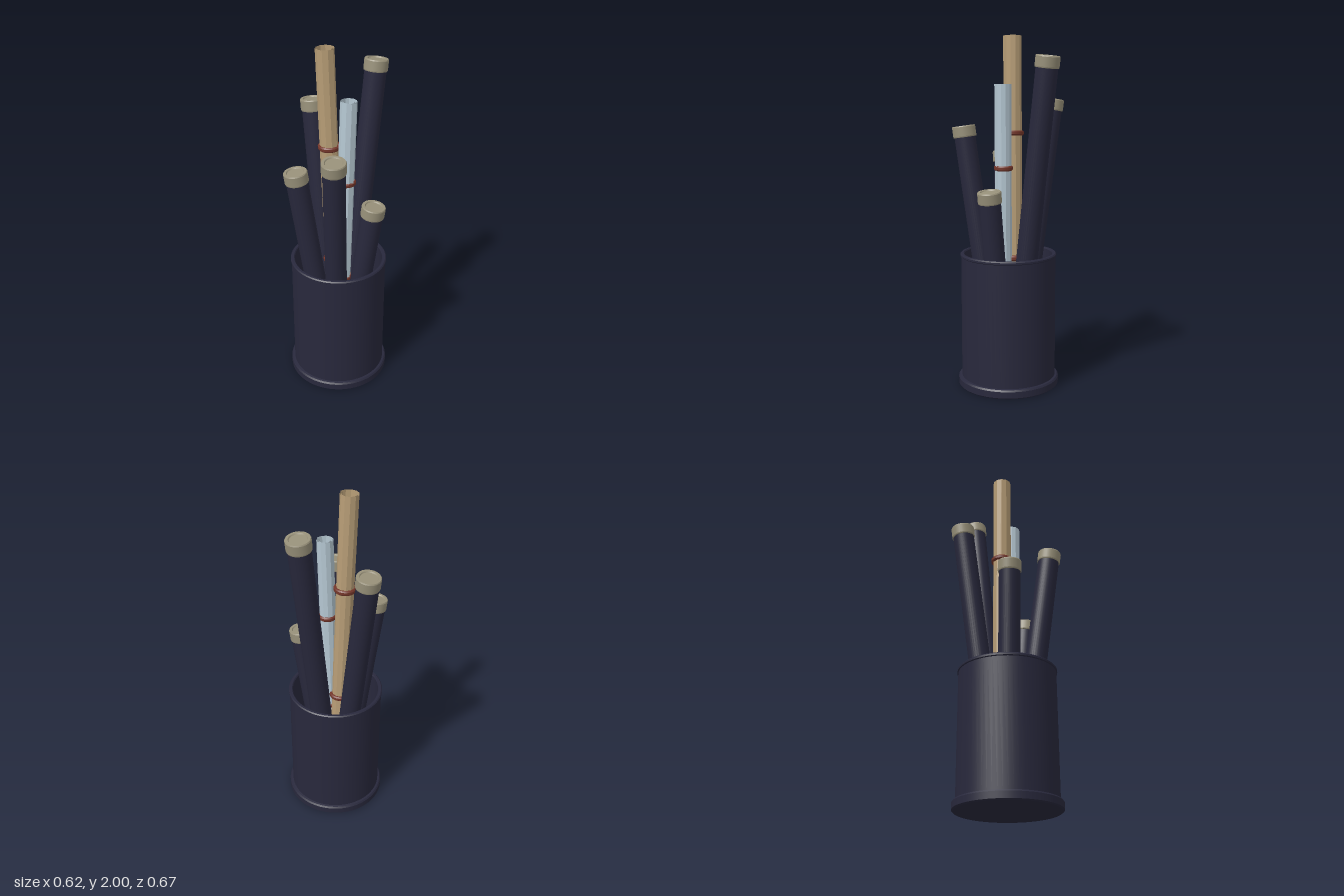
import * as THREE from 'three';

const CX = 0.019, CZ = 0.043; // axis of the container

const material = (name, color, extra = {}) => {
  const m = new THREE.MeshStandardMaterial({ color, ...extra });
  m.name = name;
  return m;
};

// Lathe with sharp corners: every profile segment is its own smooth band
function turned(name, profile, mat, sides = 48) {
  const group = new THREE.Group();
  group.name = name;
  for (let i = 0; i < profile.length - 1; i++) {
    const pts = [profile[i], profile[i + 1]].map(([r, y]) => new THREE.Vector2(r, y));
    const mesh = new THREE.Mesh(new THREE.LatheGeometry(pts, sides), mat);
    mesh.name = name + 'Band';
    group.add(mesh);
  }
  return group;
}

// Stand an object on a base point with its y axis aimed at a tip point
function aim(object, base, tip) {
  object.position.copy(base);
  const dir = tip.clone().sub(base).normalize();
  object.quaternion.setFromUnitVectors(new THREE.Vector3(0, 1, 0), dir);
  return object;
}

// Sheet rolled into a spiral, open at both ends
function rolledSheet(inner, outer, turns, length, sides = 11) {
  const steps = Math.round(turns * sides);
  const geo = new THREE.PlaneGeometry(1, length, steps, 1);
  const pos = geo.attributes.position;
  for (let i = 0; i < pos.count; i++) {
    const t = pos.getX(i) + 0.5;
    const a = (t - 1) * turns * Math.PI * 2;
    const r = inner + (outer - inner) * t;
    pos.setXYZ(i, r * Math.cos(a), pos.getY(i) + length / 2, -r * Math.sin(a));
  }
  geo.computeVertexNormals();
  return geo;
}

export function createModel() {
  const model = new THREE.Group();
  model.name = 'scrollHolder';

  const dark = material('darkLeather', 0x28283c);
  const capMat = material('capGrey', 0x979079);
  const parchment = material('parchment', 0xb79d76, { side: THREE.DoubleSide, flatShading: true });
  const paper = material('bluePaper', 0xb6c8d3, { side: THREE.DoubleSide, flatShading: true });
  const red = material('redBand', 0x74362a);

  // Container: foot ring, wall, rolled lip, hollow inside and floor
  const container = turned('container', [
    [0, 0.003], [0.283, 0.003], [0.291, 0.01], [0.291, 0.046], [0.284, 0.055],
    [0.272, 0.057], [0.271, 0.758], [0.276, 0.762], [0.276, 0.772], [0.27, 0.778],
    [0.257, 0.778], [0.252, 0.772], [0.252, 0.05], [0, 0.05],
  ], dark, 64);
  container.position.set(CX, 0, CZ);
  model.add(container);

  // Five capped tubes fanning out; each number is the height of the cap top
  const tilt = Math.tan(THREE.MathUtils.degToRad(8));
  [1.876, 1.15, 1.5, 1.345, 1.65].forEach((top, i) => {
    const a = -Math.PI / 2 + (i * Math.PI * 2) / 5;
    const at = (y) => {
      const d = 0.049 + tilt * y;
      return new THREE.Vector3(CX + d * Math.cos(a), y, CZ + d * Math.sin(a));
    };
    const base = at(0.065), tip = at(top);
    const len = base.distanceTo(tip);
    const tube = new THREE.Group();
    tube.name = 'cappedTube' + (i + 1);

    const body = new THREE.Mesh(new THREE.CylinderGeometry(0.0605, 0.0605, len - 0.02, 32), dark);
    body.name = 'tubeBody';
    body.position.y = (len - 0.02) / 2;
    tube.add(body);

    // Cap with a softened edge and a shallow round recess
    const cap = turned('tubeCap', [
      [0.06, -0.065], [0.065, -0.064], [0.0665, -0.058], [0.0665, -0.006], [0.063, 0],
      [0.049, 0], [0.045, -0.006], [0, -0.006],
    ], capMat, 32);
    cap.position.y = len;
    tube.add(cap);
    model.add(aim(tube, base, tip));
  });

  // Two loose rolls, each tied with two bands
  const rolls = [
    { name: 'parchmentRoll', mat: parchment, base: [-0.003, 0.07, 0.022], tip: [-0.043, 2, 0.072],
      inner: 0.04, outer: 0.055, turns: 2, band: 0.062 },
    { name: 'bluePaperRoll', mat: paper, base: [0.041, 0.07, 0.054], tip: [0.075, 1.732, 0.022],
      inner: 0.03, outer: 0.05, turns: 3, band: 0.053 },
  ];
  for (const r of rolls) {
    const base = new THREE.Vector3(...r.base), tip = new THREE.Vector3(...r.tip);
    const len = base.distanceTo(tip);
    const roll = new THREE.Group();
    roll.name = r.name;
    const sheet = new THREE.Mesh(rolledSheet(r.inner, r.outer, r.turns, len), r.mat);
    sheet.name = 'rolledSheet';
    roll.add(sheet);
    for (const t of [0.35, 0.72]) {
      const band = turned('tieBand', [
        [0, -0.014], [r.band - 0.006, -0.014], [r.band, -0.007],
        [r.band, 0.007], [r.band - 0.006, 0.014], [0, 0.014],
      ], red, 24);
      band.position.y = len * t;
      roll.add(band);
    }
    model.add(aim(roll, base, tip));
  }

  return model;
}
